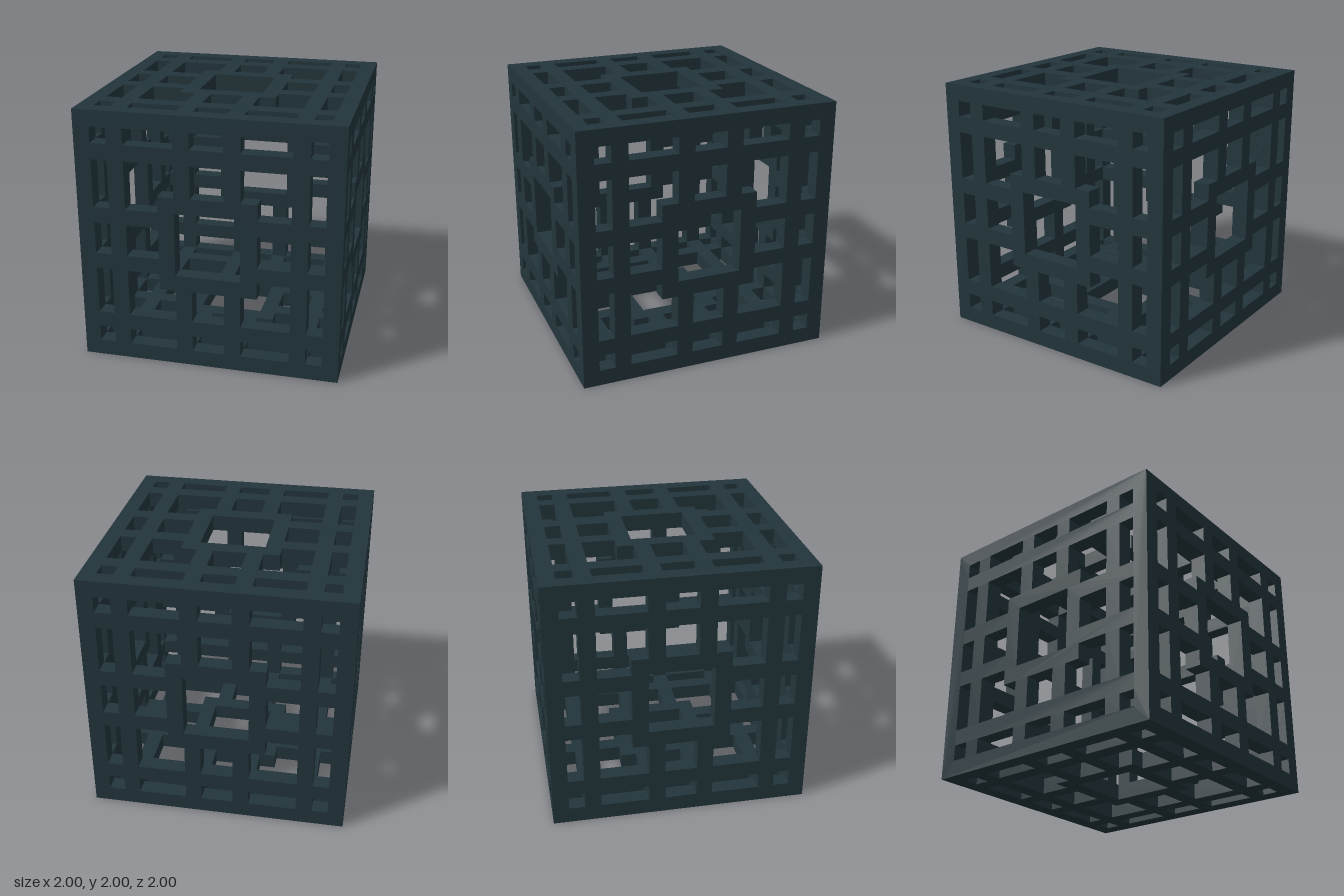
import * as THREE from 'three';

const U = 0.125; // one lattice cell; the cube is 16 cells wide

// Closed outline from points given in cells, measured from the face centre
const toVectors = (pts) => pts.map(([x, y]) => new THREE.Vector2(x * U, y * U));
const rect = (x0, x1, y0, y1) => [[x0, y0], [x1, y0], [x1, y1], [x0, y1]];

// All openings of one face
function faceHoles() {
  const holes = [rect(-2, 2, -2, 2)]; // centre window
  // openings on the two axes, repeated on four sides
  for (const s of [-1, 1]) {
    for (const r of [rect(-1, 1, 6 * s, 7 * s), rect(-1, 1, 3 * s, 5 * s)]) {
      holes.push(r, r.map(([x, y]) => [y, x]));
    }
  }
  // openings of one quadrant, mirrored into four
  const notched = [[3, 2], [5, 2], [5, 5], [2, 5], [2, 3], [3, 3]];
  const quadrant = [rect(6, 7, 6, 7), rect(2, 5, 6, 7), rect(6, 7, 2, 5), notched];
  for (const sx of [-1, 1]) {
    for (const sy of [-1, 1]) {
      for (const q of quadrant) holes.push(q.map(([x, y]) => [x * sx, y * sy]));
    }
  }
  return holes;
}

// One pierced plate facing +z, its rim mitred so six plates close into a cube
function facePlate() {
  const shape = new THREE.Shape(toVectors(rect(-8, 8, -8, 8)));
  for (const h of faceHoles()) shape.holes.push(new THREE.Path(toVectors(h)));
  const geo = new THREE.ExtrudeGeometry(shape, { depth: U, bevelEnabled: false });
  geo.translate(0, 0, 1 - U);
  const p = geo.attributes.position;
  for (let i = 0; i < p.count; i++) {
    if (p.getZ(i) > 1 - U / 2) continue;
    const inset = (v) => (Math.abs(v) > 0.99 ? Math.sign(v) * (1 - U) : v);
    p.setXY(i, inset(p.getX(i)), inset(p.getY(i)));
  }
  geo.computeVertexNormals();
  return geo;
}

export function createModel() {
  const slate = new THREE.MeshStandardMaterial({ color: 0x22353b });
  slate.name = 'darkSlate';

  const model = new THREE.Group();
  model.name = 'latticeCube';
  const plate = facePlate();
  const q = Math.PI / 2;
  const faces = [
    ['frontLattice', 0, 0], ['leftLattice', 0, q], ['backLattice', 0, 2 * q],
    ['rightLattice', 0, -q], ['topLattice', -q, 0], ['bottomLattice', q, 0],
  ];
  for (const [name, rx, ry] of faces) {
    const mesh = new THREE.Mesh(plate, slate);
    mesh.name = name;
    mesh.rotation.set(rx, ry, 0);
    mesh.position.y = 1;
    model.add(mesh);
  }
  return model;
}
